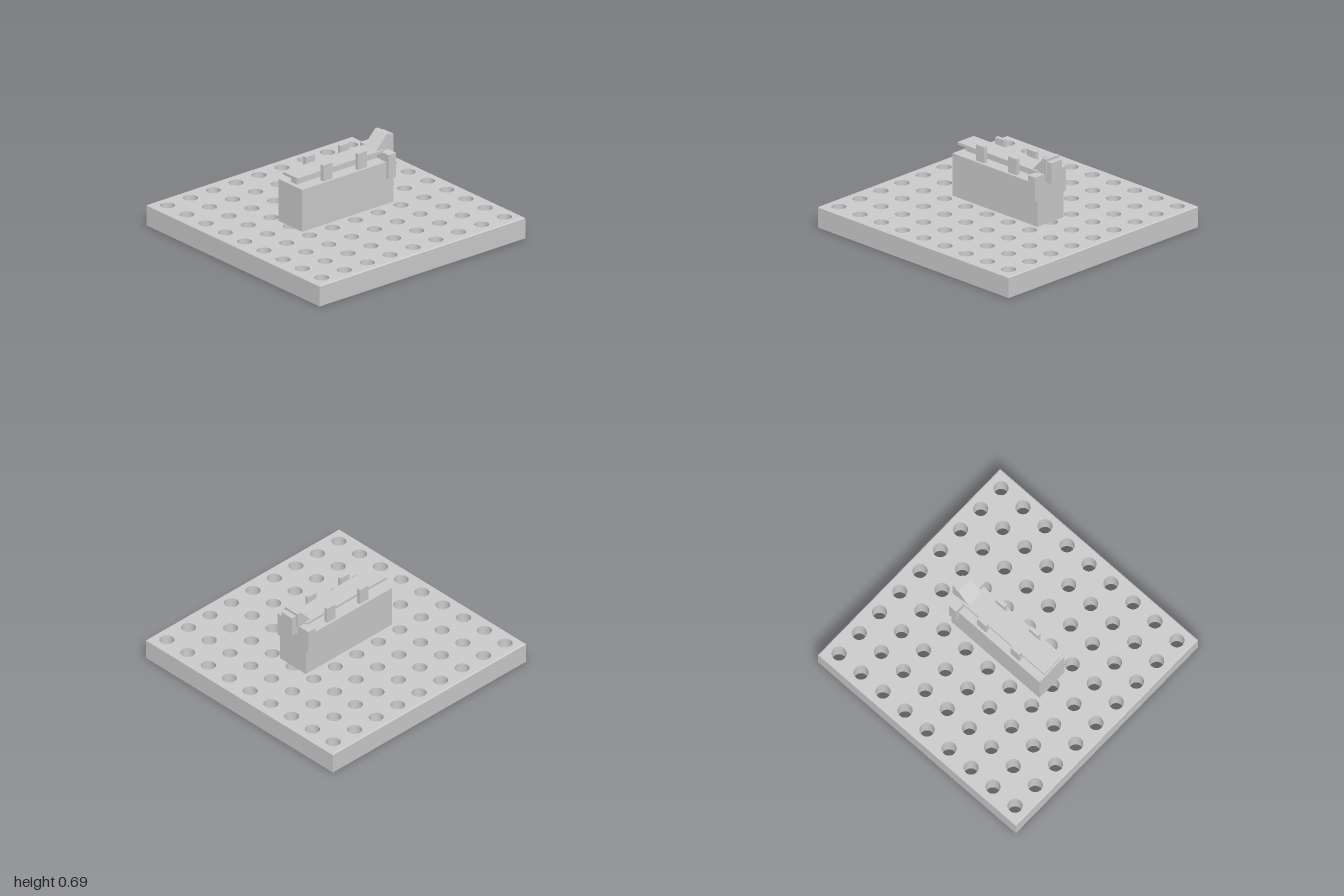
import * as THREE from 'three';
import { toCreasedNormals } from 'three/addons/utils/BufferGeometryUtils.js';

const material = new THREE.MeshStandardMaterial({ color: 0xcccccc });

export function createModel() {
  const model = new THREE.Group();
  model.name = 'fixtureOnPerforatedPlate';

  const add = (name, geometry) => {
    const mesh = new THREE.Mesh(geometry, material);
    mesh.name = name;
    model.add(mesh);
    return mesh;
  };

  // Box given by its minimum and maximum on each axis
  const box = (name, x0, x1, y0, y1, z0, z1) =>
    add(name, new THREE.BoxGeometry(x1 - x0, y1 - y0, z1 - z0))
      .position.set((x0 + x1) / 2, (y0 + y1) / 2, (z0 + z1) / 2);

  // Square plate pierced by a 9 x 9 grid of round holes
  const square = new THREE.Shape([[-1, -1], [1, -1], [1, 1], [-1, 1]].map(([x, y]) => new THREE.Vector2(x, y)));
  const pitch = 2 / 9;
  for (let i = -4; i <= 4; i++) {
    for (let j = -4; j <= 4; j++) {
      square.holes.push(new THREE.Path().absarc(i * pitch, j * pitch, 0.056, 0, Math.PI * 2, true));
    }
  }
  const layer = (y0, y1, chamfer) => {
    const g = new THREE.ExtrudeGeometry(square, { depth: y1 - y0, bevelEnabled: false, curveSegments: 16 });
    g.rotateX(-Math.PI / 2);
    const p = g.attributes.position;
    for (let i = 0; i < p.count; i++) {
      // Pull in the outer rim of the top face
      if (p.getY(i) > (y1 - y0) / 2) {
        for (const [get, set] of [['getX', 'setX'], ['getZ', 'setZ']]) {
          const v = p[get](i);
          if (Math.abs(v) > 0.99) p[set](i, v - Math.sign(v) * chamfer);
        }
      }
    }
    g.translate(0, y0, 0);
    return toCreasedNormals(g, 0.5);
  };
  add('basePlate', layer(0, 0.16, 0));
  add('basePlateChamferedTop', layer(0.16, 0.168, 0.008));

  // Main block with a narrow rail carrying a flat slide
  box('body', -0.138, 0.138, 0.168, 0.507, -0.445, 0.445);
  box('rail', -0.033, 0.033, 0.505, 0.562, -0.4, 0.41);
  box('slide', -0.086, 0.086, 0.561, 0.582, -0.39, 0.445);

  // Guide posts and yoke arms, mirrored left and right
  for (const side of [-1, 1]) {
    const pair = (name, xa, xb, ...rest) =>
      box(name, Math.min(side * xa, side * xb), Math.max(side * xa, side * xb), ...rest);
    for (const z of [0.177, -0.16]) pair('guidePost', 0.086, 0.117, 0.505, 0.635, z - 0.044, z + 0.044);
    pair('yokeArm', 0.137, 0.165, 0.375, 0.57, -0.446, -0.373);
  }
  box('yokeBar', -0.138, 0.138, 0.505, 0.57, -0.446, -0.373);

  // Sloped head at the back end of the slide
  const profile = new THREE.Shape(
    [[0.328, 0.58], [0.437, 0.693], [0.466, 0.693], [0.466, 0.57], [0.328, 0.57]]
      .map(([back, y]) => new THREE.Vector2(back, y)));
  const wedge = new THREE.ExtrudeGeometry(profile, { depth: 0.138, bevelEnabled: false });
  wedge.translate(0, 0, -0.069);
  wedge.rotateY(Math.PI / 2);
  add('slopedHead', wedge);
  box('backStop', -0.056, 0.056, 0.507, 0.672, -0.51, -0.445);

  return model;
}
